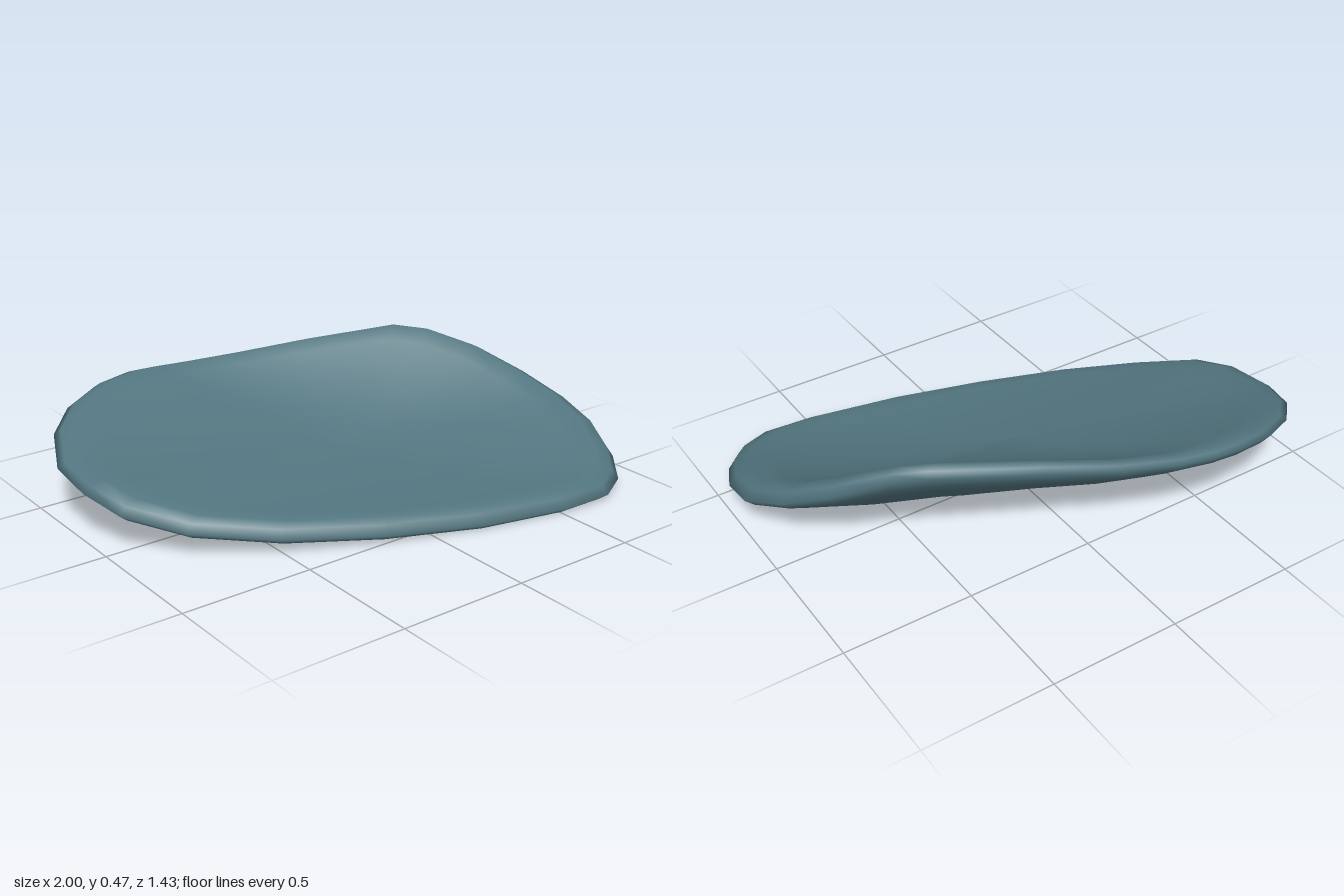
import * as THREE from 'three';

// Rim of the pad: x, z, height of the outer edge, height of the lip above it
const RIM = [
  [-1, -0.33, 0.225, 0.03], [-0.92, -0.51, 0.28, 0.027], [-0.8, -0.63, 0.32, 0.027],
  [-0.65, -0.7, 0.35, 0.027], [-0.51, -0.72, 0.365, 0.024], [-0.4, -0.71, 0.367, 0.022],
  [-0.27, -0.68, 0.37, 0.022], [-0.06, -0.61, 0.384, 0.025], [0.2, -0.5, 0.413, 0.03],
  [0.56, -0.34, 0.443, 0.035], [0.68, -0.25, 0.415, 0.045], [0.83, -0.12, 0.335, 0.062],
  [0.94, 0.04, 0.25, 0.065], [1, 0.22, 0.17, 0.075], [0.99, 0.39, 0.125, 0.067],
  [0.93, 0.54, 0.08, 0.06], [0.84, 0.655, 0.045, 0.06], [0.72, 0.715, 0.032, 0.055],
  [0.52, 0.705, 0.027, 0.06], [0.18, 0.635, 0.03, 0.062], [-0.18, 0.515, 0.045, 0.06],
  [-0.52, 0.365, 0.07, 0.055], [-0.79, 0.19, 0.105, 0.052], [-0.95, 0.02, 0.155, 0.047],
  [-1, -0.14, 0.195, 0.04],
];
const LIP = 0.925;

// Height at fraction t of the way out: a sloped plane that curls to meet the edge
function bowl(centre, slope, z, edge, t, power) {
  return centre + slope * z * t + (edge - centre - slope * z) * t ** power;
}

const underside = ([, z, y], s) => bowl(0.075, -0.12, z, y - 0.018, s, 2.5);
const topside = ([, z, y, lip], s) => bowl(0.175, -0.24, z * LIP, y + lip, s / LIP, 2);

// Closed rings: underside centre -> outer edge -> rounded lip -> shallow top centre
function ringHeights() {
  const rings = [];
  for (const s of [0, 0.2, 0.4, 0.6, 0.78, 0.9, 0.97]) rings.push([s, (p) => underside(p, s)]);
  rings.push([1, (p) => p[2]]);
  rings.push([0.975, (p) => p[2] + p[3] * 0.65]);
  for (const s of [LIP, 0.84, 0.72, 0.56, 0.38, 0.2, 0]) rings.push([s, (p) => topside(p, s)]);
  return rings;
}

export function createModel() {
  const group = new THREE.Group();
  const rings = ringHeights();
  const n = RIM.length;
  const positions = [];
  const indices = [];
  rings.forEach(([s, height], r) => {
    RIM.forEach((p, j) => {
      positions.push(p[0] * s, height(p), p[1] * s);
      if (r === rings.length - 1) return;
      const a = r * n + j;
      const b = r * n + ((j + 1) % n);
      if (r < rings.length - 2) indices.push(a, a + n, b + n);
      else indices.push(a, a + n, b);
      if (r > 0 && r < rings.length - 2) indices.push(a, b + n, b);
    });
  });
  const geometry = new THREE.BufferGeometry();
  geometry.setAttribute('position', new THREE.Float32BufferAttribute(positions, 3));
  geometry.setIndex(indices);
  geometry.computeBoundingBox();
  geometry.translate(0, -geometry.boundingBox.min.y, 0);
  geometry.computeVertexNormals();

  const shell = new THREE.Mesh(geometry, new THREE.MeshStandardMaterial({ color: 0x52757f }));
  shell.name = 'curvedPad';
  group.add(shell);
  return group;
}
